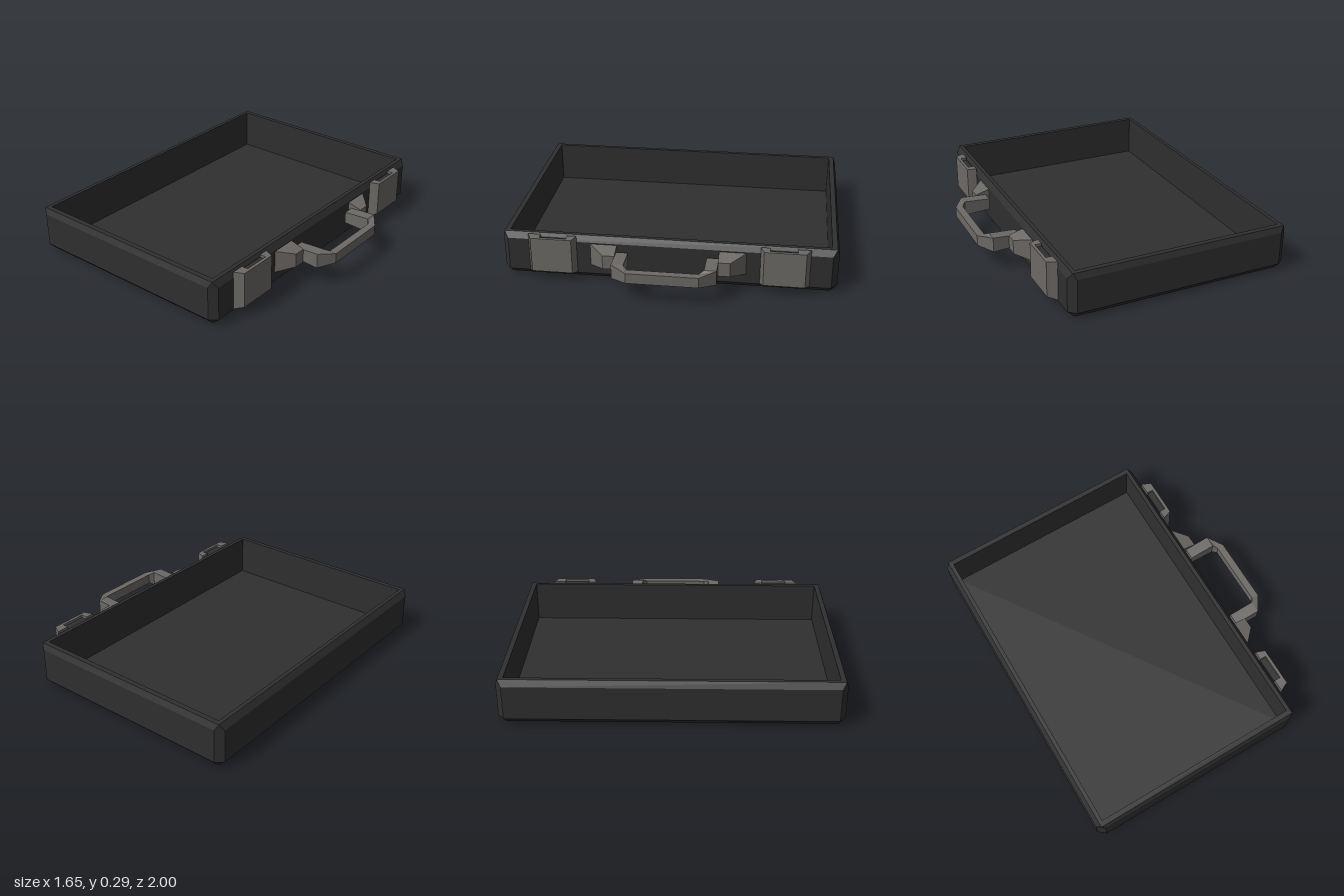
import * as THREE from 'three';

const black = new THREE.MeshStandardMaterial({ color: 0x2f2f2f });
black.name = 'black shell';
const grey = new THREE.MeshStandardMaterial({ color: 0x6c6966 });
grey.name = 'grey metal';

// Joins equal-length rings of [x, y, z] points with flat faces and closes both ends
function loft(name, rings, material) {
  const pos = [];
  const tri = (a, b, c) => pos.push(...a, ...b, ...c);
  const n = rings[0].length;
  for (let i = 0; i < rings.length - 1; i++) {
    for (let j = 0; j < n; j++) {
      const k = (j + 1) % n;
      const a = rings[i][j], b = rings[i][k], c = rings[i + 1][k], d = rings[i + 1][j];
      tri(a, b, c);
      tri(a, c, d);
    }
  }
  const first = rings[0], last = rings[rings.length - 1];
  for (let j = 1; j < n - 1; j++) {
    tri(first[0], first[j + 1], first[j]);
    tri(last[0], last[j], last[j + 1]);
  }
  const g = new THREE.BufferGeometry();
  g.setAttribute('position', new THREE.Float32BufferAttribute(pos, 3));
  g.computeVertexNormals();
  const mesh = new THREE.Mesh(g, material);
  mesh.name = name;
  return mesh;
}

// Rectangle across the x axis
const rectX = (x, y0, y1, za, zb) => {
  const z0 = Math.min(za, zb), z1 = Math.max(za, zb);
  return [[x, y0, z0], [x, y1, z0], [x, y1, z1], [x, y0, z1]];
};

// Horizontal rectangle ring with cut corners
function trayRing(y, insetX, insetZ, cutX, cutZ) {
  const x0 = -0.825 + insetX, x1 = 0.57 - insetX, z = 1 - insetZ;
  return [
    [x1, y, z - cutZ], [x1, y, -z + cutZ], [x1 - cutX, y, -z], [x0 + cutX, y, -z],
    [x0, y, -z + cutZ], [x0, y, z - cutZ], [x0 + cutX, y, z], [x1 - cutX, y, z],
  ];
}

function makeLatch(s) {
  const latch = new THREE.Group();
  latch.name = s > 0 ? 'frontLatch' : 'backLatch';
  const top = 0.287;
  // Cover plate, bevelled towards the case
  latch.add(loft('latchCover', [
    rectX(0.608, 0.06, top, s * 0.559, s * 0.817),
    rectX(0.626, 0.067, top, s * 0.566, s * 0.81),
  ], grey));
  // Side walls around the pocket
  for (const [base, tip, inner] of [[0.545, 0.559, 0.6], [0.837, 0.817, 0.76]]) {
    latch.add(loft('latchSide', [
      rectX(0.568, 0.045, top, s * base, s * inner),
      rectX(0.608, 0.06, top, s * tip, s * inner),
    ], grey));
  }
  // Dark clasp inside the pocket
  latch.add(loft('latchClasp', [
    rectX(0.568, 0.1, 0.27, s * 0.6, s * 0.76),
    rectX(0.608, 0.1, 0.27, s * 0.6, s * 0.76),
  ], black));
  latch.add(loft('latchBase', [
    rectX(0.568, 0.045, 0.1, s * 0.6, s * 0.76),
    rectX(0.608, 0.06, 0.1, s * 0.6, s * 0.76),
  ], grey));
  return latch;
}

function makeHandle() {
  const handle = new THREE.Group();
  handle.name = 'handle';
  const y = 0.173;
  // Tapered mounts
  for (const s of [1, -1]) {
    handle.add(loft('handleMount', [
      rectX(0.568, y - 0.072, y + 0.07, s * 0.303, s * 0.465),
      rectX(0.657, y - 0.044, y + 0.044, s * 0.303, s * 0.375),
    ], grey));
  }
  // Grip: inner x, z, outer x, z and half height, mirrored front to back
  const half = [
    [0.592, 0.233, 0.592, 0.305, 0.036],
    [0.755, 0.233, 0.755, 0.305, 0.046],
    [0.777, 0.205, 0.822, 0.21, 0.032],
  ];
  const mirrored = half.map(([xi, zi, xo, zo, h]) => [xi, -zi, xo, -zo, h]).reverse();
  const rings = [...half, ...mirrored].map(([xi, zi, xo, zo, h]) =>
    [[xi, y - h, zi], [xi, y + h, zi], [xo, y + h, zo], [xo, y - h, zo]]);
  handle.add(loft('handleGrip', rings, grey));
  return handle;
}

export function createModel() {
  const model = new THREE.Group();
  model.name = 'openCase';
  // Bevelled outside, rim, inner walls and floor
  const e = 0.0005;
  model.add(loft('caseTray', [
    trayRing(0, 0.045, 0.04, e, e),
    trayRing(0.042, 0, 0, 0.045, 0.037),
    trayRing(0.25, 0, 0, 0.045, 0.037),
    trayRing(0.287, 0.024, 0.014, e, e),
    trayRing(0.287, 0.048, 0.045, e, e),
    trayRing(0.03, 0.048, 0.045, e, e),
  ], black));
  model.add(makeLatch(1), makeLatch(-1), makeHandle());
  return model;
}
